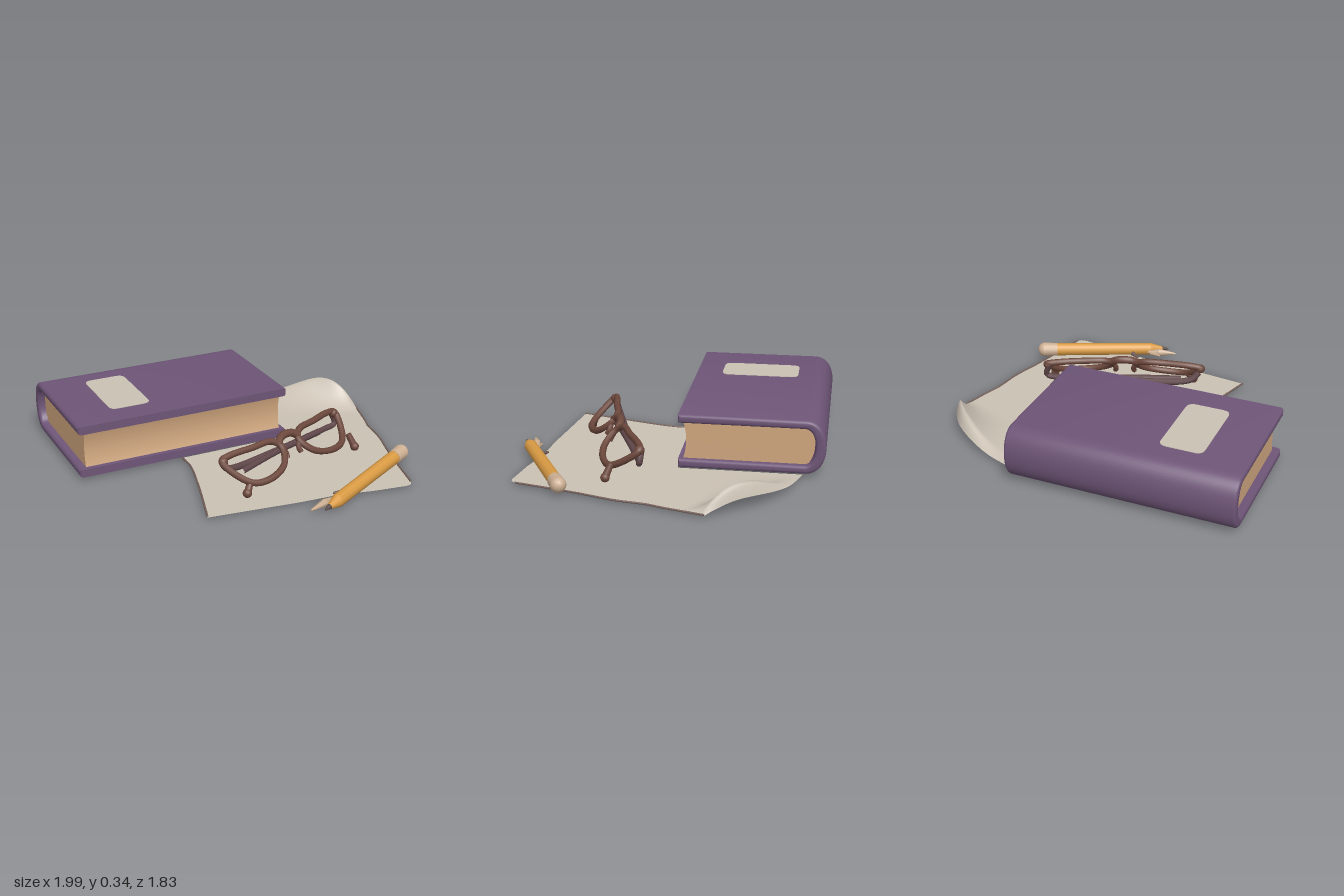
import * as THREE from 'three';
import { toCreasedNormals } from 'three/addons/utils/BufferGeometryUtils.js';

const mat = (name, color, side = THREE.FrontSide) => {
  const m = new THREE.MeshStandardMaterial({ color, side });
  m.name = name;
  return m;
};
const V = (x, y, z) => new THREE.Vector3(x, y, z);

export function createModel() {
  const purple = mat('purple cover', 0x6e5577);
  const pageTan = mat('page tan', 0xcfa67e);
  const cream = mat('cream paper', 0xcbc1b4, THREE.DoubleSide);
  const edgeBrown = mat('paper edge brown', 0x75605a);
  const brown = mat('frame brown', 0x6d483c);
  const plum = mat('temple plum', 0x60474a);
  const yellow = mat('pencil yellow', 0xdb9c44);
  const eraserTan = mat('eraser tan', 0xcdb093);
  const lead = mat('lead grey', 0x5a4a45);

  const model = new THREE.Group();
  const add = (parent, name, geometry, material) => {
    const mesh = new THREE.Mesh(geometry, material);
    mesh.name = name;
    parent.add(mesh);
    return mesh;
  };
  const group = (name) => {
    const g = new THREE.Group();
    g.name = name;
    model.add(g);
    return g;
  };
  const tube = (points, r, closed = false, segs = 48) =>
    new THREE.TubeGeometry(new THREE.CatmullRomCurve3(points, closed), segs, r, 8, closed);
  // tapered round bar from a to b
  const rod = (parent, name, a, b, ra, rb, material, sides = 14) => {
    const mesh = add(parent, name, new THREE.CylinderGeometry(rb, ra, a.distanceTo(b), sides), material);
    mesh.position.copy(a).lerp(b, 0.5);
    mesh.quaternion.setFromUnitVectors(V(0, 1, 0), b.clone().sub(a).normalize());
    return mesh;
  };
  const ball = (parent, name, p, r, material) =>
    add(parent, name, new THREE.SphereGeometry(r, 14, 10), material).position.copy(p);

  // ---- Book: side profiles in (-z, y), extruded along x ----
  const book = group('book');
  const alongX = (shape, x0, x1, bevel) => {
    const g = new THREE.ExtrudeGeometry(shape, {
      depth: x1 - x0 - 2 * bevel, curveSegments: 14, bevelEnabled: bevel > 0,
      bevelThickness: bevel, bevelSize: bevel, bevelOffset: -bevel, bevelSegments: 3,
    });
    g.rotateY(Math.PI / 2).translate(x0 + bevel, 0, 0);
    return toCreasedNormals(g, 0.8);
  };
  const cover = new THREE.Shape();
  cover.moveTo(0.07, 0.01);
  cover.lineTo(0.8, 0.01);
  cover.bezierCurveTo(0.88, 0.01, 0.92, 0.08, 0.92, 0.17);
  cover.bezierCurveTo(0.92, 0.26, 0.88, 0.33, 0.8, 0.33);
  cover.lineTo(0.07, 0.33);
  cover.lineTo(0.07, 0.28);
  cover.lineTo(0.8, 0.28);
  cover.bezierCurveTo(0.88, 0.27, 0.88, 0.07, 0.8, 0.06);
  cover.lineTo(0.07, 0.06);
  cover.closePath();
  add(book, 'cover', alongX(cover, -1, 0.345, 0.018), purple);

  const pages = new THREE.Shape();
  pages.moveTo(0.095, 0.05);
  pages.lineTo(0.81, 0.05);
  pages.quadraticCurveTo(0.9, 0.17, 0.81, 0.29);
  pages.lineTo(0.095, 0.29);
  pages.quadraticCurveTo(0.135, 0.17, 0.095, 0.05);
  add(book, 'pages', alongX(pages, -0.955, 0.31, 0), pageTan);

  // rounded title plate without lettering
  const plate = new THREE.Shape();
  const [w, h, r] = [0.127, 0.24, 0.05];
  plate.moveTo(-w + r, -h);
  plate.lineTo(w - r, -h);
  plate.quadraticCurveTo(w, -h, w, -h + r);
  plate.lineTo(w, h - r);
  plate.quadraticCurveTo(w, h, w - r, h);
  plate.lineTo(-w + r, h);
  plate.quadraticCurveTo(-w, h, -w, h - r);
  plate.lineTo(-w, -h + r);
  plate.quadraticCurveTo(-w, -h, -w + r, -h);
  const label = add(book, 'coverLabel',
    new THREE.ExtrudeGeometry(plate, { depth: 0.004, bevelEnabled: false }), cream);
  label.rotation.x = -Math.PI / 2;
  label.position.set(-0.613, 0.329, -0.47);

  // ---- Paper: flat sheet in front, curled patch beside the book ----
  const paper = group('paper');
  const leftEdge = [[-0.36, -0.07], [-0.36, 0.05], [-0.42, 0.3], [-0.53, 0.67]];
  const rightEdge = [[0.7, 0.8], [0.76, 0.55], [0.8, 0.4], [0.86, 0.2], [0.89, 0.02], [0.92, -0.07]];
  const bottomEdge = [[0, 0.735], [0.25, 0.755], [0.45, 0.8], [0.65, 0.83], [0.68, 0.825]];
  const outline = [...leftEdge, ...bottomEdge, ...rightEdge].map(([x, z]) => new THREE.Vector2(x, -z));
  const sheet = new THREE.ShapeGeometry(new THREE.Shape(outline));
  sheet.rotateX(-Math.PI / 2).translate(0, 0.005, 0);
  add(paper, 'flatSheet', sheet, cream);

  const backCurve = new THREE.CatmullRomCurve3(
    [V(0.335, 0, -0.79), V(0.6, 0, -0.71), V(0.82, 0, -0.58), V(0.93, 0, -0.43), V(0.99, 0, -0.31)]);
  const curl = new THREE.PlaneGeometry(1, 1, 28, 24);
  const pos = curl.attributes.position;
  for (let i = 0; i < pos.count; i++) {
    const s = pos.getX(i) + 0.5;
    const t = Math.pow(0.5 - pos.getY(i), 1.5);
    const p = backCurve.getPointAt(s).lerp(V(0.335 + 0.585 * s, 0, -0.07), t);
    const rise = t < 0.1 ? 0.45 + 0.55 * Math.sin(t / 0.1 * Math.PI / 2)
      : Math.pow(Math.max(0, 1 - (t - 0.1) / 0.5), 2);
    pos.setXYZ(i, p.x, 0.005 + 0.15 * Math.sin(Math.PI * s * s) * rise, p.z);
  }
  curl.computeVertexNormals();
  add(paper, 'curledCorner', curl, cream);

  const rim = (pts) => tube(pts.map(([x, z]) => V(x, 0.006, z)), 0.006);
  add(paper, 'leftPaperEdge', rim(leftEdge), edgeBrown);
  add(paper, 'rightPaperEdge', rim([...rightEdge, [0.985, -0.31]]), edgeBrown);

  // ---- Glasses: front frame leaning back, temples folded behind ----
  const glasses = group('glasses');
  const front = new THREE.Group();
  front.name = 'glassesFront';
  front.position.set(0.16, 0.155, 0.365);
  front.rotation.set(-0.85, 0.34, 0, 'YXZ');
  glasses.add(front);
  const lens = [[0.075, 0.04], [0.12, 0.085], [0.27, 0.1], [0.42, 0.115], [0.485, 0.105],
    [0.455, 0], [0.38, -0.09], [0.26, -0.11], [0.14, -0.075], [0.085, -0.01]];
  for (const side of [-1, 1]) {
    const bow = lens.map(([x, y]) => V(side * x, y, -0.16 * x * x));
    add(front, side < 0 ? 'rightRim' : 'leftRim', tube(bow, 0.02, true, 72), brown);
    ball(front, 'hingeCorner', V(side * 0.475, 0.1, -0.04), 0.028, brown);
    add(front, 'nosePad', tube([V(side * 0.08, 0.03, 0), V(side * 0.055, -0.01, -0.02),
      V(side * 0.06, -0.04, -0.03)], 0.016, false, 12), brown);
  }
  add(front, 'bridge', tube([V(-0.09, 0.05, 0), V(-0.04, 0.085, 0.005), V(0.04, 0.085, 0.005),
    V(0.09, 0.05, 0)], 0.024, false, 20), brown);

  add(glasses, 'rightTemple', tube([V(-0.32, 0.17, 0.42), V(-0.27, 0.12, 0.39),
    V(0.1, 0.1, 0.265), V(0.46, 0.1, 0.14)], 0.02), plum);
  add(glasses, 'leftTemple', tube([V(0.56, 0.2, 0.1), V(0.585, 0.12, 0.11), V(0.5, 0.105, 0.13),
    V(0.1, 0.11, 0.29), V(-0.2, 0.1, 0.42)], 0.018), plum);
  for (const [a, b] of [[V(-0.2, 0.085, 0.53), V(-0.235, 0.035, 0.56)],
    [V(0.59, 0.11, 0.27), V(0.62, 0.035, 0.3)]]) {
    rod(glasses, 'templeTip', a, b, 0.018, 0.022, brown);
    ball(glasses, 'templeTipEnd', b, 0.027, brown);
  }

  // ---- Pencil with eraser and broken point ----
  const pencil = group('pencil');
  const at = (d) => V(0.07, 0.025, 0.905).lerp(V(0.84, 0.055, 0.505), d);
  rod(pencil, 'body', at(0.14), at(0.86), 0.039, 0.041, yellow, 10);
  rod(pencil, 'sharpenedEnd', at(0.05), at(0.14), 0.016, 0.039, yellow, 10);
  rod(pencil, 'point', at(0), at(0.05), 0.004, 0.016, lead, 10);
  rod(pencil, 'eraser', at(0.86), at(0.965), 0.043, 0.046, eraserTan);
  ball(pencil, 'eraserEnd', at(0.955), 0.046, eraserTan);

  // shavings lying by the point
  const scraps = group('shavings');
  rod(scraps, 'longSplinter', V(0.005, 0.018, 0.865), V(0.11, 0.025, 0.83), 0.006, 0.024, eraserTan, 6);
  rod(scraps, 'splinterEnd', V(0.11, 0.025, 0.83), V(0.18, 0.025, 0.805), 0.024, 0.008, eraserTan, 6);
  rod(scraps, 'shortSplinter', V(0.09, 0.015, 0.8), V(0.16, 0.02, 0.81), 0.005, 0.015, eraserTan, 6);
  rod(scraps, 'crumb', V(0.22, 0.012, 0.73), V(0.27, 0.02, 0.755), 0.006, 0.016, edgeBrown, 6);

  return model;
}
